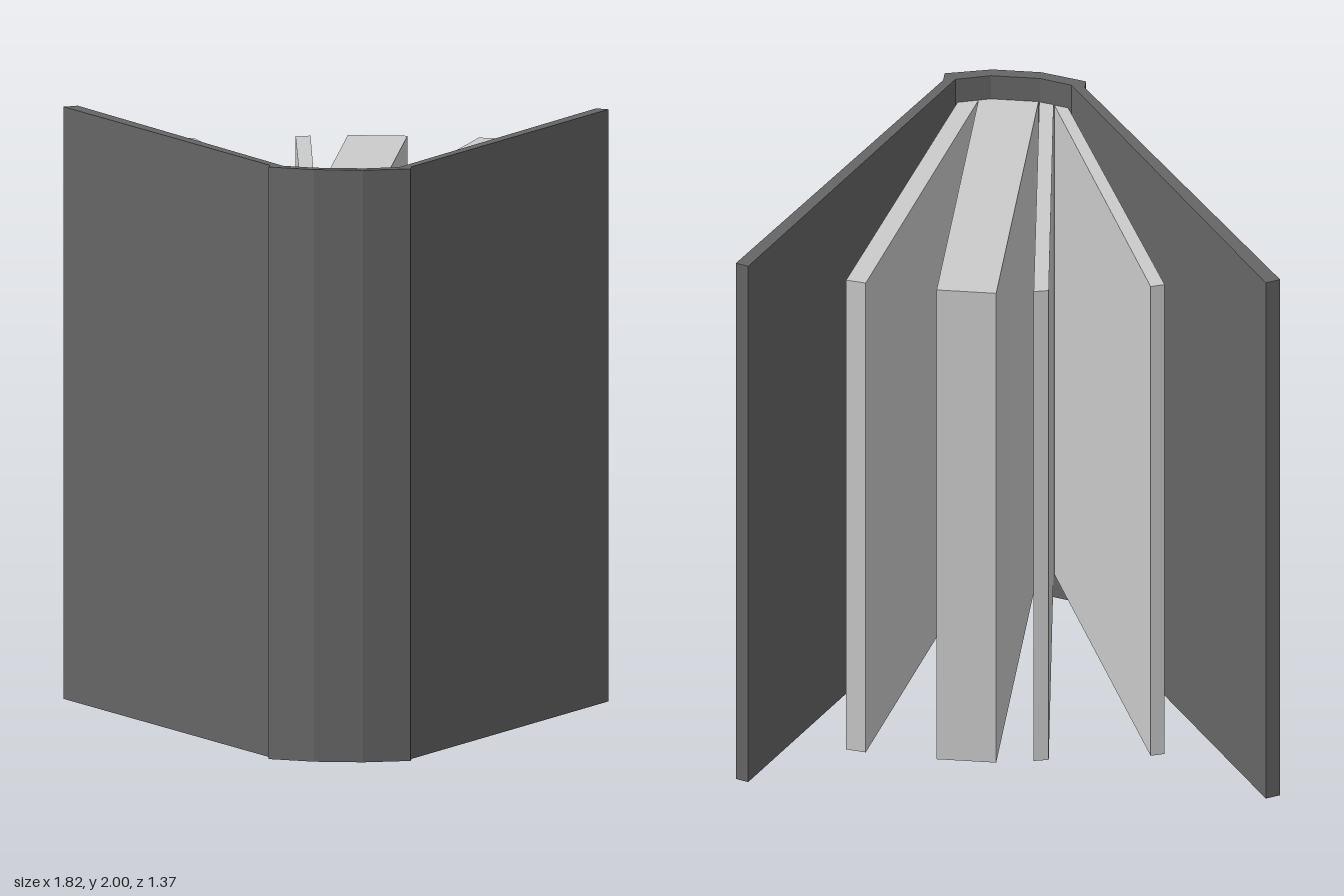
import * as THREE from 'three';

const coverGrey = new THREE.MeshStandardMaterial({ color: 0x666666 });
coverGrey.name = 'coverGrey';
const paperGrey = new THREE.MeshStandardMaterial({ color: 0xcccccc });
paperGrey.name = 'paperGrey';

// Upright slab: a plan outline of [x, z] points raised from y = bottom to y = top
function slab(name, outline, bottom, top, material) {
  const shape = new THREE.Shape(outline.map(([x, z]) => new THREE.Vector2(x, -z)));
  const geometry = new THREE.ExtrudeGeometry(shape, { depth: top - bottom, bevelEnabled: false });
  geometry.rotateX(-Math.PI / 2).translate(0, bottom, 0);
  const mesh = new THREE.Mesh(geometry, material);
  mesh.name = name;
  return mesh;
}

export function createModel() {
  const book = new THREE.Group();
  book.name = 'openBook';

  // Hard case: two splayed boards and a faceted spine
  const boards = {
    rightCover: [[-0.908, -0.575], [-0.863, -0.602], [-0.075, 0.61], [-0.12, 0.6]],
    leftCover: [[0.865, -0.688], [0.908, -0.672], [0.355, 0.595], [0.315, 0.605]],
    spine: [[-0.12, 0.6], [-0.12, 0.64], [0.035, 0.683], [0.2, 0.683], [0.355, 0.64],
      [0.355, 0.595], [0.315, 0.605], [0.2, 0.642], [0.035, 0.642], [-0.075, 0.61]],
  };
  for (const [name, outline] of Object.entries(boards)) {
    book.add(slab(name, outline, 0, 2, coverGrey));
  }

  // Page bundles fanning out from the spine, slightly shorter than the case
  const pages = {
    rightPages: [[-0.512, -0.5], [-0.467, -0.518], [-0.015, 0.625], [-0.063, 0.612]],
    innerRightPages: [[-0.132, -0.582], [-0.083, -0.595], [0.037, 0.64], [-0.012, 0.628]],
    pageBlock: [[0.04, -0.62], [0.24, -0.62], [0.24, 0.63], [0.2, 0.642], [0.04, 0.642]],
    leftPages: [[0.48, -0.602], [0.547, -0.59], [0.308, 0.607], [0.24, 0.629]],
  };
  for (const [name, outline] of Object.entries(pages)) {
    book.add(slab(name, outline, 0.09, 1.91, paperGrey));
  }

  return book;
}
